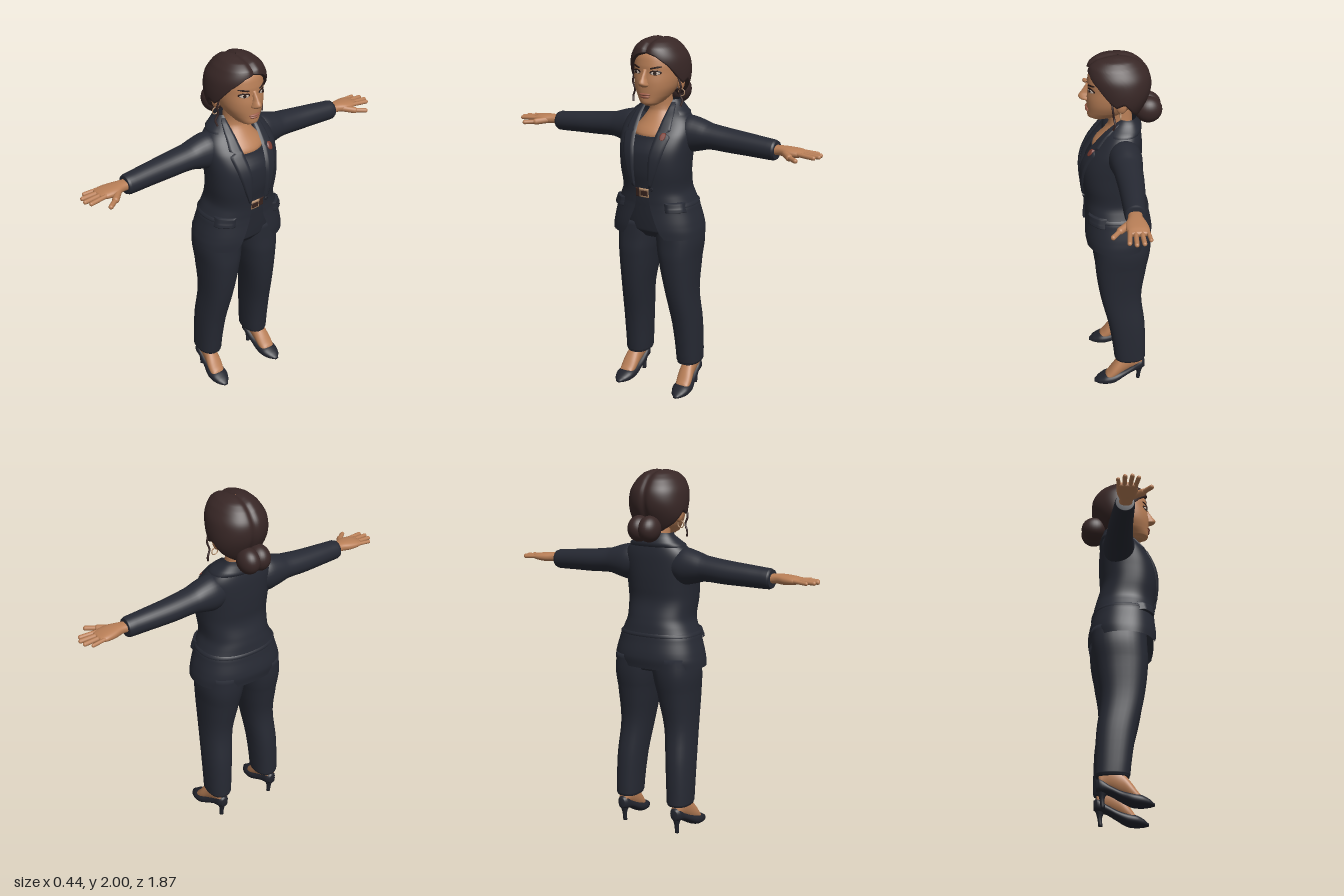
import * as THREE from 'three';

const mat = (name, color, open) => {
  const m = new THREE.MeshStandardMaterial({ color });
  m.name = name;
  if (open) m.side = THREE.DoubleSide;
  return m;
};
const V = (x, y, z) => new THREE.Vector3(x, y, z);

// Catmull-Rom resampling of profile rows
function smooth(rows, k = 4) {
  const out = [];
  const at = i => rows[Math.min(rows.length - 1, Math.max(0, i))];
  for (let i = 0; i < rows.length - 1; i++) for (let j = 0; j < k; j++) {
    const t = j / k;
    out.push(rows[i].map((_, c) => {
      const [p, a, b, q] = [at(i - 1)[c], at(i)[c], at(i + 1)[c], at(i + 2)[c]];
      if (c === 0) return a + (b - a) * t;
      return a + 0.5 * t * (b - p + t * (2 * p - 5 * a + 4 * b - q + t * (3 * (a - b) + q - p)));
    }));
  }
  out.push(rows[rows.length - 1]);
  return out;
}

// Linear lookup in rows sorted by their first value
function sample(rows, s) {
  let i = 0;
  while (i < rows.length - 2 && s > rows[i + 1][0]) i++;
  const a = rows[i], b = rows[i + 1];
  const t = Math.min(1, Math.max(0, (s - a[0]) / (b[0] - a[0])));
  return a.map((v, c) => v + (b[c] - v) * t);
}

function build(points, index) {
  const g = new THREE.BufferGeometry().setFromPoints(points);
  g.setIndex(index);
  g.computeVertexNormals();
  return g;
}

// Open surface from fn(u, v)
function grid(fn, nu, nv) {
  const pts = [], idx = [];
  for (let j = 0; j <= nv; j++) for (let i = 0; i <= nu; i++) pts.push(fn(i / nu, j / nv));
  for (let j = 0; j < nv; j++) for (let i = 0; i < nu; i++) {
    const a = j * (nu + 1) + i, c = a + nu + 1;
    idx.push(a, a + 1, c, a + 1, c + 1, c);
  }
  return build(pts, idx);
}

// Closed loft along an axis; rows are [s, a0, a1, b0, b1] extents (y: z,x / x: y,z / z: x,y)
const place = { y: (s, a, b) => V(b, s, a), x: (s, a, b) => V(s, a, b), z: (s, a, b) => V(a, b, s) };
const pw = (v, e) => Math.sign(v) * Math.abs(v) ** e;
function loft(axis, rows, e = 1, n = 32) {
  const R = smooth(rows), pts = [], idx = [];
  R.forEach(([s, a0, a1, b0, b1]) => {
    for (let j = 0; j < n; j++) {
      const t = j / n * Math.PI * 2;
      pts.push(place[axis](s, (a0 + a1) / 2 + (a1 - a0) / 2 * pw(Math.cos(t), e), (b0 + b1) / 2 + (b1 - b0) / 2 * pw(Math.sin(t), e)));
    }
  });
  for (let i = 0; i < R.length - 1; i++) for (let j = 0; j < n; j++) {
    const a = i * n + j, b = i * n + (j + 1) % n;
    idx.push(a, b, a + n, b, b + n, a + n);
  }
  [0, R.length - 1].forEach((i, top) => {
    const [s, a0, a1, b0, b1] = R[i], c = pts.length;
    pts.push(place[axis](s, (a0 + a1) / 2, (b0 + b1) / 2));
    for (let j = 0; j < n; j++) {
      const a = i * n + j, b = i * n + (j + 1) % n;
      top ? idx.push(c, a, b) : idx.push(c, b, a);
    }
  });
  return build(pts, idx);
}

// Body rows are [y, back z, front z, half width], symmetric in x
const body = (rows, e, n) => loft('y', rows.map(([y, b, f, w]) => [y, b, f, -w, w]), e, n);
function around(rows, e, y, t, off = 0) {
  const [, b, f, w] = sample(rows, y);
  return V((w + off) * pw(Math.sin(t), e), y, (b + f) / 2 + ((f - b) / 2 + off) * pw(Math.cos(t), e));
}
const angleAt = (rows, e, y, x) => {
  const w = sample(rows, y)[3];
  return Math.asin(pw(Math.min(0.98, Math.abs(x) / w), 1 / e)) * Math.sign(x);
};
// Thin raised plate on the front of a body; edges are [y, x0, x1]
function patch(rows, e, edges, off, nu = 8, nv = 16) {
  const y0 = edges[0][0], y1 = edges[edges.length - 1][0];
  return grid((u, v) => {
    const y = y0 + (y1 - y0) * v, [, xa, xb] = sample(edges, y);
    const rim = u === 0 || u === 1 || v === 0 || v === 1;
    return around(rows, e, y, angleAt(rows, e, y, xa + (xb - xa) * u), rim ? off * 0.2 : off);
  }, nu, nv);
}
const disc = (x, y, w, h) => Array.from({ length: 9 }, (_, i) => {
  const a = -Math.PI / 2 + i / 8 * Math.PI, d = w * Math.cos(a);
  return [y + h * Math.sin(a), x - d, x + d];
});

function mirror(g) {
  const m = g.clone().scale(-1, 1, 1), a = m.index.array;
  for (let i = 0; i < a.length; i += 3) [a[i], a[i + 1]] = [a[i + 1], a[i]];
  return m;
}
const ball = (x, y, z, rx, ry, rz) => new THREE.SphereGeometry(1, 28, 20).scale(rx, ry, rz).translate(x, y, z);
function capsule(p, q, r) {
  const d = q.clone().sub(p);
  const rot = new THREE.Quaternion().setFromUnitVectors(V(0, 1, 0), d.clone().normalize());
  return new THREE.CapsuleGeometry(r, d.length(), 6, 12).applyQuaternion(rot).translate(...p.clone().add(q).multiplyScalar(0.5).toArray());
}

export function createModel() {
  const suit = mat('suit navy', 0x262933, true), shoe = mat('shoe black', 0x22242d), skin = mat('skin', 0xb97f57);
  const hair = mat('hair brown', 0x382726, true), lip = mat('lips', 0x9a5c48, true), white = mat('eye white', 0xc9b9ac, true);
  const dark = mat('eye dark', 0x2a1a16, true), belt = mat('belt brown', 0x3a2520, true), metal = mat('metal', 0xb08a68, true), red = mat('pin red', 0x7a3a30, true);
  const model = new THREE.Group(), person = new THREE.Group();
  person.name = 'woman';
  const add = (name, g, m) => { const o = new THREE.Mesh(g, m); o.name = name; person.add(o); };
  const pair = (name, g, m) => { add(name + 'Left', g, m); add(name + 'Right', mirror(g), m); };

  // Trousers, inner top and belt
  pair('trouserLeg', loft('y', [[0.16, -0.13, 0.04, 0.105, 0.23], [0.175, -0.135, 0.045, 0.1, 0.236], [0.4, -0.13, 0.075, 0.085, 0.235], [0.6, -0.11, 0.12, 0.06, 0.226],
    [0.8, -0.14, 0.145, 0.022, 0.235], [0.9, -0.158, 0.143, 0.002, 0.243], [1.0, -0.16, 0.14, -0.01, 0.235]], 0.85), suit);
  const E = 0.85;
  const inner = smooth([[0.92, -0.13, 0.11, 0.12], [0.96, -0.15, 0.14, 0.22], [1.1, -0.13, 0.158, 0.2], [1.2, -0.11, 0.168, 0.165],
    [1.3, -0.09, 0.185, 0.172], [1.4, -0.09, 0.182, 0.175], [1.485, -0.09, 0.145, 0.15]]);
  add('innerTop', body(inner, E), suit);
  add('belt', patch(inner, E, [[1.155, -0.08, 0.08], [1.205, -0.08, 0.08]], 0.005), belt);
  add('buckle', patch(inner, E, [[1.155, -0.036, 0.036], [1.207, -0.036, 0.036]], 0.009), metal);
  add('buckleCentre', patch(inner, E, [[1.165, -0.026, 0.026], [1.197, -0.026, 0.026]], 0.012), belt);

  // Open jacket
  const jacket = smooth([[0.94, -0.168, 0.2, 0.262], [1.0, -0.176, 0.202, 0.255], [1.11, -0.156, 0.192, 0.226], [1.14, -0.15, 0.192, 0.21], [1.2, -0.138, 0.195, 0.187], [1.3, -0.112, 0.207, 0.194],
    [1.38, -0.115, 0.207, 0.2], [1.44, -0.118, 0.192, 0.205], [1.5, -0.118, 0.16, 0.208], [1.55, -0.116, 0.122, 0.198], [1.59, -0.11, 0.09, 0.17], [1.63, -0.1, 0.05, 0.12], [1.665, -0.09, 0.015, 0.09]]);
  const gap = smooth([[0.94, 0.13], [0.97, 0.105], [1.05, 0.07], [1.12, 0.045], [1.22, 0.04], [1.4, 0.048], [1.5, 0.062], [1.58, 0.072], [1.665, 0.072]]);
  add('jacket', grid((u, v) => {
    const y = 0.94 + 0.725 * v, t0 = angleAt(jacket, E, y, sample(gap, y)[1]);
    return around(jacket, E, y, t0 + (2 * Math.PI - 2 * t0) * u);
  }, 72, 60), suit);
  pair('lapel', patch(jacket, E, [[1.22, 0.04, 0.055], [1.3, 0.042, 0.085], [1.4, 0.046, 0.115], [1.5, 0.06, 0.138], [1.515, 0.062, 0.105], [1.525, 0.064, 0.13], [1.6, 0.07, 0.115], [1.655, 0.07, 0.088]], 0.011, 8, 40), suit);
  add('collar', grid((u, v) => around(jacket, E, 1.595 + 0.075 * v, 1 + (2 * Math.PI - 2) * u, v === 0 ? 0 : 0.011), 40, 6), suit);
  pair('pocketFlap', patch(jacket, E, [[1.09, 0.13, 0.216], [1.145, 0.12, 0.2]], 0.015), suit);
  add('waistSeam', grid((u, v) => around(jacket, E, 1.112 + 0.02 * v, 1.1 + (2 * Math.PI - 2.2) * u, v === 0.5 ? 0.006 : 0), 48, 2), suit);
  add('button', patch(jacket, E, disc(0.057, 1.215, 0.011, 0.011), 0.009), shoe);
  add('lapelPin', patch(jacket, E, disc(0.1, 1.5, 0.017, 0.02), 0.017), red);

  // Sleeves and hands
  pair('sleeve', loft('x', [[0.1, 1.42, 1.57, -0.09, 0.06], [0.17, 1.395, 1.592, -0.1, 0.075], [0.23, 1.405, 1.582, -0.098, 0.068], [0.3, 1.422, 1.56, -0.09, 0.058],
    [0.42, 1.418, 1.545, -0.084, 0.05], [0.55, 1.416, 1.533, -0.072, 0.047], [0.67, 1.414, 1.522, -0.06, 0.046], [0.685, 1.42, 1.516, -0.055, 0.04]]), suit);
  pair('palm', loft('x', [[0.66, 1.445, 1.495, -0.04, 0.03], [0.71, 1.448, 1.498, -0.038, 0.034], [0.76, 1.445, 1.497, -0.052, 0.052], [0.81, 1.45, 1.492, -0.058, 0.05], [0.845, 1.458, 1.482, -0.052, 0.042]], 0.85), skin);
  [[-0.046, -0.053, 0.89, 0.01], [-0.018, -0.02, 0.917, 0.0115], [0.01, 0.016, 0.922, 0.0115], [0.036, 0.048, 0.907, 0.0115]].forEach(([z0, z1, x, r], i) =>
    pair('finger' + (i + 1), capsule(V(0.815, 1.473, z0), V(x, 1.468, z1), r), skin));
  pair('thumbBase', capsule(V(0.745, 1.468, 0.03), V(0.79, 1.462, 0.078), 0.018), skin);
  pair('thumbTip', capsule(V(0.79, 1.462, 0.078), V(0.84, 1.46, 0.116), 0.0125), skin);

  // Feet and heeled shoes
  pair('foot', loft('z', [[-0.115, 0.15, 0.2, 0.1, 0.17], [-0.06, 0.142, 0.212, 0.09, 0.22], [0, 0.14, 0.22, 0.06, 0.19], [0.05, 0.14, 0.23, 0.03, 0.128], [0.1, 0.15, 0.228, 0.012, 0.062]]), skin);
  pair('shoe', loft('z', [[-0.13, 0.155, 0.195, 0.085, 0.14], [-0.11, 0.14, 0.21, 0.075, 0.15], [-0.06, 0.136, 0.215, 0.065, 0.115], [0, 0.134, 0.226, 0.032, 0.085],
    [0.05, 0.132, 0.24, 0.006, 0.072], [0.1, 0.136, 0.24, 0, 0.062], [0.14, 0.155, 0.225, 0.003, 0.042], [0.165, 0.178, 0.204, 0.008, 0.022]], 0.9), shoe);
  pair('heel', loft('y', [[0, -0.105, -0.082, 0.163, 0.187], [0.05, -0.112, -0.084, 0.161, 0.189], [0.11, -0.13, -0.055, 0.145, 0.205]], 1, 16), shoe);

  // Neck and head
  add('neck', body([[1.46, -0.08, 0.135, 0.12], [1.5, -0.085, 0.138, 0.14], [1.56, -0.08, 0.09, 0.1], [1.62, -0.07, 0.055, 0.064], [1.72, -0.065, 0.07, 0.06]]), skin);
  const head = smooth([[1.65, 0.055, 0.138, 0.03], [1.665, 0.01, 0.163, 0.054], [1.7, -0.05, 0.166, 0.083], [1.74, -0.08, 0.168, 0.104], [1.78, -0.1, 0.168, 0.114],
    [1.825, -0.1, 0.162, 0.117], [1.87, -0.1, 0.16, 0.115], [1.92, -0.09, 0.145, 0.1], [1.96, -0.05, 0.09, 0.06]]);
  add('head', body(head, 0.92, 40), skin);
  add('nose', loft('y', [[1.752, 0.14, 0.178, -0.014, 0.014], [1.762, 0.14, 0.2, -0.026, 0.026], [1.777, 0.14, 0.21, -0.022, 0.022], [1.8, 0.14, 0.195, -0.014, 0.014], [1.845, 0.14, 0.168, -0.011, 0.011]], 1, 20), skin);
  add('upperLip', ball(0, 1.713, 0.162, 0.034, 0.008, 0.014), lip);
  add('lowerLip', ball(0, 1.701, 0.161, 0.028, 0.009, 0.014), lip);
  pair('eyeLine', patch(head, 0.92, disc(0.055, 1.829, 0.028, 0.013), 0.003), dark);
  pair('eyeWhite', patch(head, 0.92, disc(0.055, 1.826, 0.024, 0.009), 0.005), white);
  pair('iris', patch(head, 0.92, disc(0.054, 1.827, 0.009, 0.009), 0.0075), dark);
  pair('eyebrow', patch(head, 0.92, [[1.847, 0.03, 0.038], [1.853, 0.03, 0.07], [1.858, 0.05, 0.085], [1.862, 0.066, 0.08]], 0.004), dark);
  pair('ear', ball(0.122, 1.765, 0, 0.018, 0.042, 0.028), skin);
  pair('earring', new THREE.TorusGeometry(0.018, 0.003, 8, 24).translate(0.13, 1.712, 0.005), metal);

  // Parted hair, hanging strands and bun
  const hairRows = smooth([[1.66, -0.085, 0.08, 0.1], [1.7, -0.115, 0.1, 0.125], [1.75, -0.14, 0.125, 0.15], [1.8, -0.16, 0.145, 0.158], [1.85, -0.166, 0.162, 0.157], [1.9, -0.156, 0.168, 0.147],
    [1.95, -0.122, 0.156, 0.118], [1.98, -0.085, 0.118, 0.085], [1.995, -0.04, 0.06, 0.045], [2.003, 0, 0.01, 0.003]]);
  const hairline = [[0, 1.935], [0.4, 1.915], [0.8, 1.865], [1.15, 1.79], [1.35, 1.765], [1.6, 1.785], [2, 1.72], [2.5, 1.68], [Math.PI, 1.67]];
  add('hair', grid((u, v) => {
    const t = u * Math.PI * 2, low = sample(hairline, Math.min(t, 2 * Math.PI - t))[1];
    const k = Math.max(0, v - 0.06) / 0.94, d = 1 - k;
    const p = around(hairRows, 0.95, 2.003 - (2.003 - low) * d * d, t);
    const c = V(0, 1.85, 0), dip = v < 0.05 ? 0.82 : 1 - 0.065 * Math.exp(-((p.x / 0.018) ** 2));
    return p.sub(c).multiplyScalar(dip).add(c);
  }, 112, 34), hair);
  const strand = new THREE.CatmullRomCurve3([V(0.135, 1.8, 0.05), V(0.148, 1.75, 0.045), V(0.138, 1.71, 0.04), V(0.152, 1.675, 0.035), V(0.146, 1.645, 0.045)]);
  pair('hairStrand', new THREE.TubeGeometry(strand, 24, 0.0055, 8), hair);
  pair('bun', ball(0.032, 1.695, -0.15, 0.058, 0.07, 0.072), hair);

  person.rotation.y = Math.PI / 2;
  model.add(person);
  return model;
}
